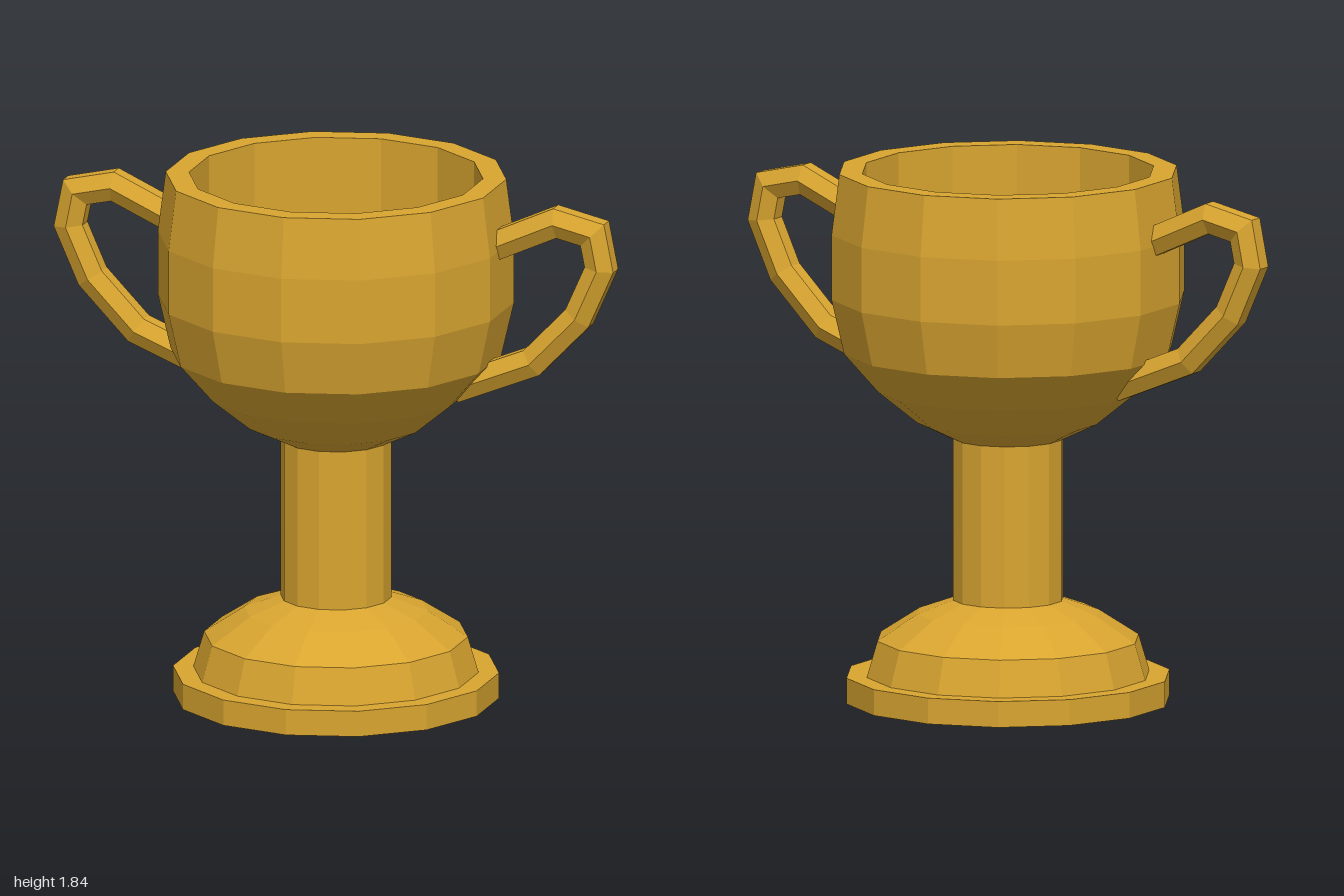
import * as THREE from 'three';

const SIDES = 14;
const gold = new THREE.MeshStandardMaterial({ color: 0xd9a530, flatShading: true });

function part(name, geometry) {
  const flat = geometry.index ? geometry.toNonIndexed() : geometry;
  flat.computeVertexNormals();
  const mesh = new THREE.Mesh(flat, gold);
  mesh.name = name;
  return mesh;
}

// Faceted solid of revolution from [radius, height] pairs
function turned(name, profile) {
  const points = profile.map(([r, y]) => new THREE.Vector2(r, y));
  return part(name, new THREE.LatheGeometry(points, SIDES));
}

// Hexagonal bar with mitred corners along a path in the xy plane
function hexBar(path, radius) {
  const pts = path.map(([x, y]) => new THREE.Vector2(x, y));
  const normals = pts.slice(1).map((p, i) => {
    const d = p.clone().sub(pts[i]).normalize();
    return new THREE.Vector2(-d.y, d.x);
  });
  const positions = [], index = [];
  pts.forEach((p, i) => {
    const a = normals[Math.max(i - 1, 0)];
    const b = normals[Math.min(i, normals.length - 1)];
    const mitre = a.clone().add(b).divideScalar(1 + a.dot(b));
    for (let j = 0; j < 6; j++) {
      const t = Math.PI / 6 + j * Math.PI / 3;
      const n = radius * Math.cos(t);
      positions.push(p.x + mitre.x * n, p.y + mitre.y * n, radius * Math.sin(t));
    }
  });
  for (let i = 0; i < pts.length - 1; i++) {
    for (let j = 0; j < 6; j++) {
      const a = i * 6 + j, b = i * 6 + (j + 1) % 6;
      index.push(a, b, b + 6, a, b + 6, a + 6);
    }
  }
  // End caps
  const last = (pts.length - 1) * 6;
  for (let j = 1; j < 5; j++) {
    index.push(0, j + 1, j, last, last + j, last + j + 1);
  }
  const g = new THREE.BufferGeometry();
  g.setAttribute('position', new THREE.Float32BufferAttribute(positions, 3));
  g.setIndex(index);
  return g;
}

export function createModel() {
  const trophy = new THREE.Group();
  trophy.name = 'trophyCup';

  // Stepped foot
  trophy.add(turned('base', [
    [0, 0], [0.56, 0], [0.56, 0.09], [0.49, 0.09],
    [0.453, 0.215], [0.315, 0.305], [0.19, 0.35],
  ]));

  trophy.add(turned('stem', [[0.19, 0.35], [0.19, 0.91]]));

  // Outer wall, flat rim, then the hollow inside
  trophy.add(turned('bowl', [
    [0.19, 0.91], [0.315, 0.97], [0.45, 1.08], [0.568, 1.215], [0.612, 1.405],
    [0.612, 1.63], [0.585, 1.84],
    [0.505, 1.84], [0.505, 1.63], [0.505, 1.42], [0.38, 1.24], [0.13, 1.13], [0, 1.13],
  ]));

  // Two matching handles
  const handlePath = [
    [0.55, 1.63], [0.795, 1.742], [0.93, 1.711], [0.954, 1.59],
    [0.875, 1.412], [0.71, 1.24], [0.43, 1.125],
  ];
  for (const [name, turn] of [['leftHandle', 0], ['rightHandle', Math.PI]]) {
    const handle = part(name, hexBar(handlePath, 0.057));
    handle.rotation.y = turn;
    trophy.add(handle);
  }
  return trophy;
}
